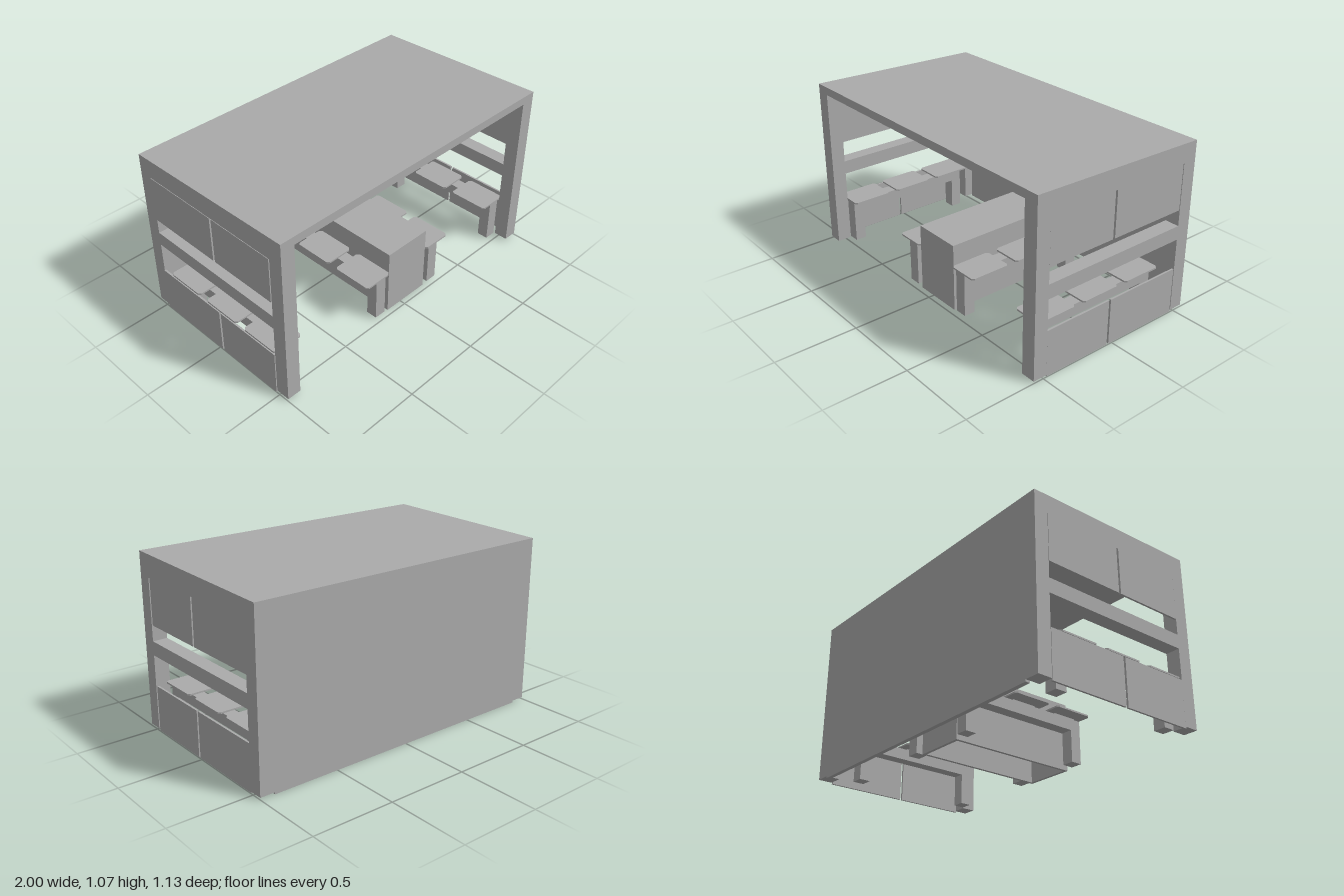
import * as THREE from 'three';

export function createModel() {
  const model = new THREE.Group();
  const grey = new THREE.MeshStandardMaterial({ color: 0xaaaaaa });
  grey.name = 'grey';

  // Box given by its minimum and maximum on each axis
  function box(name, x0, x1, y0, y1, z0, z1, parent = model) {
    const mesh = new THREE.Mesh(new THREE.BoxGeometry(x1 - x0, y1 - y0, z1 - z0), grey);
    mesh.position.set((x0 + x1) / 2, (y0 + y1) / 2, (z0 + z1) / 2);
    mesh.name = name;
    parent.add(mesh);
    return mesh;
  }

  // Side profile (z, y) extruded along x
  function profile(name, points, x0, x1) {
    const shape = new THREE.Shape(points.map(([z, y]) => new THREE.Vector2(-z, y)));
    const geometry = new THREE.ExtrudeGeometry(shape, { depth: x1 - x0, bevelEnabled: false });
    geometry.rotateY(Math.PI / 2);
    geometry.translate(x0, 0, 0);
    const mesh = new THREE.Mesh(geometry, grey);
    mesh.name = name;
    model.add(mesh);
  }

  const Z = 0.565, INNER_Z = 0.478, INNER_X = 0.91, OUTER_X = 0.997;

  // Sloping roof, back wall and the beam above it
  profile('roof', [[Z, 1.018], [Z, 1.068], [-Z, 1.043], [-Z, 1.018]], -OUTER_X, 1);
  box('backWall', -INNER_X, INNER_X, 0, 1.018, -Z, -0.538);
  box('backBeam', -INNER_X, INNER_X, 0.93, 1.018, -0.538, -INNER_Z);

  // Side frames: posts, top beam, middle rail and thin panels
  for (const side of [-1, 1]) {
    const x0 = side < 0 ? -OUTER_X : INNER_X;
    const x1 = side < 0 ? -INNER_X : 1;
    box('frontPost', x0, x1, 0.012, 1.018, INNER_Z, Z);
    box('backPost', x0, x1, 0.012, 1.018, -Z, -INNER_Z);
    box('sideBeam', x0, x1, 0.93, 1.018, -INNER_Z, INNER_Z);
    box('middleRail', x0, x1, 0.47, 0.555, -INNER_Z, INNER_Z);
    const p0 = side < 0 ? -1 : 0.984;
    for (const [z0, z1] of [[-INNER_Z, 0.021], [0.035, 0.474]]) {
      box('upperPanel', p0, p0 + 0.012, 0.65, 0.93, z0, z1);
      box('lowerPanel', p0, p0 + 0.012, 0, 0.28, z0, z1);
    }
  }

  // Hollow counter table, open underneath
  const table = new THREE.Group();
  table.name = 'table';
  model.add(table);
  const [tx0, tx1, tz0, tz1, t] = [-0.112, 0.203, -0.36, 0.465, 0.018];
  box('tableTop', tx0, tx1, 0.4, 0.42, tz0, tz1, table);
  box('tableSide', tx0, tx0 + t, 0, 0.4, tz0, tz1, table);
  box('tableSide', tx1 - t, tx1, 0, 0.4, tz0, tz1, table);
  box('tableEnd', tx0 + t, tx1 - t, 0, 0.4, tz0, tz0 + t, table);
  box('tableEnd', tx0 + t, tx1 - t, 0, 0.4, tz1 - t, tz1, table);

  // Seat plate with clipped corners
  const [w, d, c] = [0.094, 0.128, 0.014];
  const outline = new THREE.Shape([
    [-w + c, -d], [w - c, -d], [w, -d + c], [w, d - c],
    [w - c, d], [-w + c, d], [-w, d - c], [-w, -d + c],
  ].map(([x, y]) => new THREE.Vector2(x, y)));
  const seatGeometry = new THREE.ExtrudeGeometry(outline, { depth: 0.01, bevelEnabled: false });
  seatGeometry.rotateX(-Math.PI / 2);

  // Benches: beam on two legs with three seats; seats are offset from the beam
  for (const [beamX, seatX] of [[-0.882, -0.902], [-0.182, -0.209], [0.27, 0.299], [0.866, 0.843]]) {
    const bench = new THREE.Group();
    bench.name = 'bench';
    model.add(bench);
    const [x0, x1] = [beamX - 0.037, beamX + 0.037];
    box('benchBeam', x0, x1, 0.21, 0.28, -0.38, 0.47, bench);
    box('benchLeg', x0, x1, 0.014, 0.21, 0.4, 0.47, bench);
    box('benchLeg', x0, x1, 0.014, 0.21, -0.38, -0.31, bench);
    for (const z of [0.349, 0.033, -0.283]) {
      box('seatMount', x0, x1, 0.28, 0.285, z - 0.08, z + 0.08, bench);
      const seat = new THREE.Mesh(seatGeometry, grey);
      seat.name = 'seat';
      seat.position.set(seatX, 0.285, z);
      bench.add(seat);
    }
  }

  return model;
}
